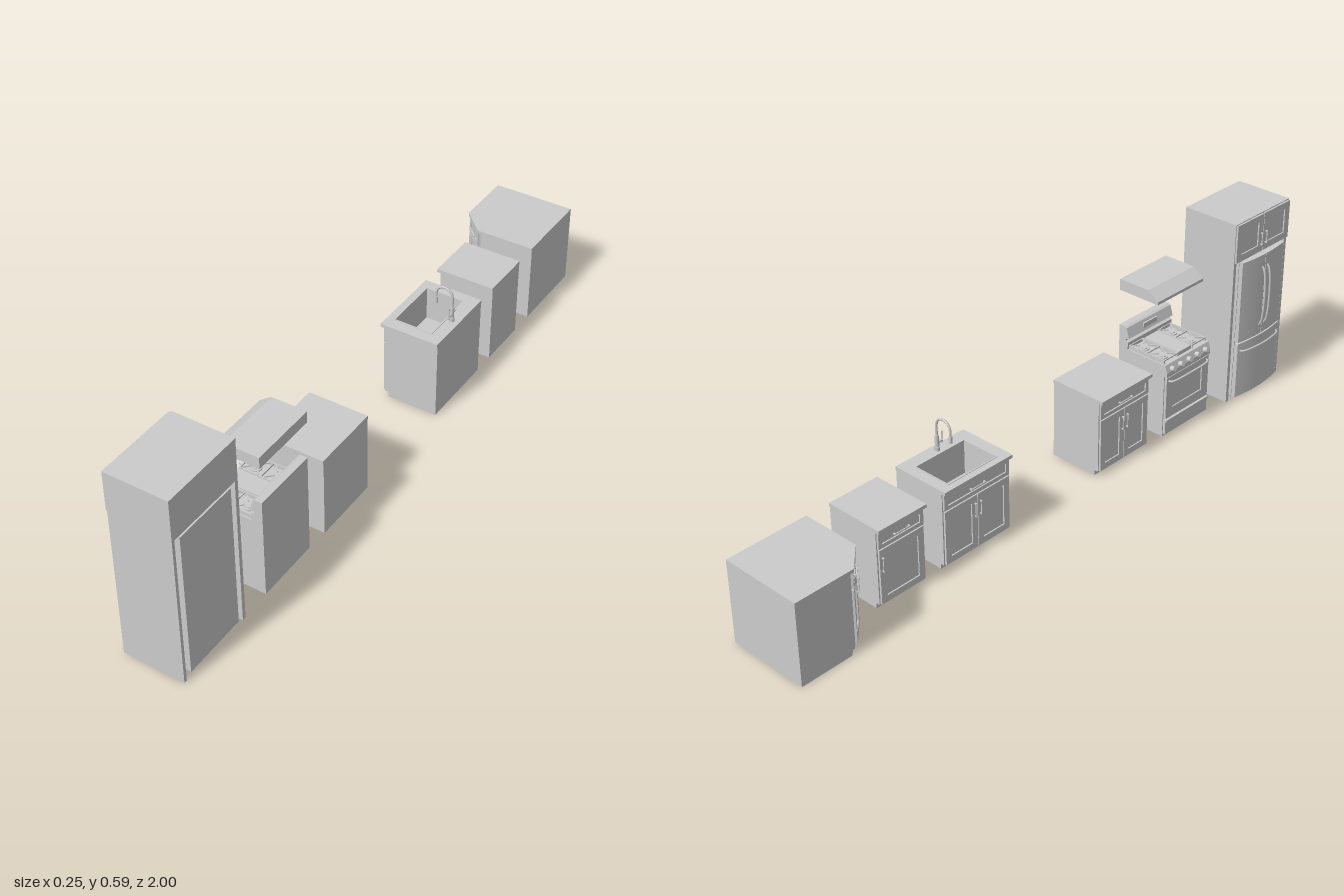
import * as THREE from 'three';

const mat = new THREE.MeshStandardMaterial({ color: 0xcccccc, side: THREE.DoubleSide });

// Units are modelled facing +z; the whole row is turned to face -x at the end.
function add(parent, name, geo, x = 0, y = 0, z = 0) {
  const m = new THREE.Mesh(geo, mat);
  m.name = name;
  m.position.set(x, y, z);
  parent.add(m);
  return m;
}
// Box given by its extents
function box(parent, name, x0, x1, y0, y1, z0, z1) {
  return add(parent, name, new THREE.BoxGeometry(x1 - x0, y1 - y0, z1 - z0),
    (x0 + x1) / 2, (y0 + y1) / 2, (z0 + z1) / 2);
}
function rect(x0, x1, y0, y1, Type = THREE.Shape) {
  return new Type([[x0, y0], [x1, y0], [x1, y1], [x0, y1]].map(p => new THREE.Vector2(...p)));
}
const poly = pts => new THREE.Shape(pts.map(p => new THREE.Vector2(...p)));
const extrude = (shape, depth) => new THREE.ExtrudeGeometry(shape, { depth, bevelEnabled: false });
// Plan outline (x, z) raised from y0 to y1
function slab(parent, name, shape, y0, y1) {
  return add(parent, name, extrude(shape, y1 - y0).rotateX(Math.PI / 2).translate(0, y1, 0));
}
// Side outline (z, y) stretched across width w
function profile(parent, name, pts, w) {
  return add(parent, name, extrude(poly(pts), w).rotateY(-Math.PI / 2).translate(w / 2, 0, 0));
}
function tube(parent, name, pts, r, seg = 20) {
  const curve = new THREE.CatmullRomCurve3(pts.map(p => new THREE.Vector3(...p)));
  return add(parent, name, new THREE.TubeGeometry(curve, seg, r, 8));
}
function cyl(parent, name, r, h, x, y, z, r2 = r) {
  return add(parent, name, new THREE.CylinderGeometry(r, r2, h, 20), x, y, z);
}
function group(parent, name, x = 0) {
  const g = new THREE.Group();
  g.name = name;
  g.position.x = x;
  parent.add(g);
  return g;
}

// Framed front with a recessed middle
function panel(parent, name, x0, x1, y0, y1, z, f = 0.02) {
  const s = rect(x0, x1, y0, y1);
  s.holes.push(rect(x0 + f, x1 - f, y0 + f, y1 - f, THREE.Path));
  add(parent, name + 'Frame', extrude(s, 0.006), 0, 0, z);
  box(parent, name + 'Inset', x0 + f, x1 - f, y0 + f, y1 - f, z, z + 0.002);
}
// Bar handle on two posts
function handle(parent, x, y, z, len, vertical) {
  const g = group(parent, 'barHandle');
  g.position.set(x, y, z);
  if (vertical) g.rotation.z = Math.PI / 2;
  box(g, 'bar', -len / 2, len / 2, -0.002, 0.002, 0.005, 0.008);
  for (const s of [-1, 1]) box(g, 'post', s * len / 2 - 0.002, s * len / 2 + 0.002, -0.002, 0.002, 0, 0.008);
}
// Drawer above one or two doors
function fronts(g, w, doors, z) {
  const a = -w / 2 + 0.003, b = w / 2 - 0.003;
  panel(g, 'drawer', a, b, 0.189, 0.24, z, 0.012);
  handle(g, 0, 0.213, z + 0.005, Math.min(0.05, w * 0.4));
  const dw = (b - a) / doors;
  for (let i = 0; i < doors; i++) {
    const x0 = a + i * dw + 0.001, x1 = a + (i + 1) * dw - 0.001;
    panel(g, 'door', x0, x1, 0.018, 0.185, z);
    const hx = doors === 2 ? (i ? x0 + 0.009 : x1 - 0.009) : x0 + 0.009;
    handle(g, hx, 0.14, z + 0.005, 0.04, true);
  }
}

const BACK = -0.125, FRONT = 0.06, CASE = 0.045;

function baseCabinet(row, name, xc, w, doors, sink) {
  const g = group(row, name, xc), h = w / 2, e = 0.002;
  const counter = rect(-h, h, BACK, FRONT), upper = rect(-h + e, h - e, BACK, CASE);
  box(g, 'plinth', -h + e, h - e, 0, 0.016, BACK, CASE - 0.012);
  if (sink) for (const s of [counter, upper]) s.holes.push(rect(-0.09, 0.086, -0.083, 0.035, THREE.Path));
  box(g, 'carcass', -h + e, h - e, 0.016, 0.15, BACK, CASE);
  slab(g, 'upperCarcass', upper, 0.15, 0.243);
  slab(g, 'countertop', counter, 0.243, 0.253);
  fronts(g, w - 0.004, doors, CASE);
  return g;
}

function sinkFittings(g) {
  const rim = rect(-0.094, 0.09, -0.087, 0.039);
  rim.holes.push(rect(-0.09, 0.086, -0.083, 0.035, THREE.Path));
  slab(g, 'sinkRim', rim, 0.253, 0.2545);
  cyl(g, 'drain', 0.011, 0.003, -0.003, 0.151, -0.025);
  const f = group(g, 'faucet', 0.005);
  cyl(f, 'faucetBase', 0.008, 0.012, 0, 0.259, -0.102);
  cyl(f, 'faucetBody', 0.006, 0.04, 0, 0.28, -0.102);
  const pts = [[0, 0.29, -0.102], [0, 0.33, -0.102]];
  for (let i = 1; i <= 6; i++) {
    const a = i * Math.PI / 6;
    pts.push([0, 0.332 + 0.026 * Math.sin(a), -0.076 - 0.026 * Math.cos(a)]);
  }
  pts.push([0, 0.315, -0.05]);
  tube(f, 'gooseneck', pts, 0.0035, 32);
  cyl(f, 'spout', 0.005, 0.02, 0, 0.308, -0.05);
  cyl(f, 'leverPivot', 0.004, 0.018, 0.009, 0.277, -0.102).rotation.z = Math.PI / 2;
  cyl(f, 'lever', 0.002, 0.038, 0.018, 0.287, -0.102);
}

function cornerCabinet(row) {
  const g = group(row, 'cornerCabinet');
  const outline = d => poly([[-1, BACK], [-0.745 - 0.002 * (d > 0), BACK], [-0.745 - 0.002 * (d > 0), FRONT - d],
    [-0.815 - d, 0.13 - 0.001 * (d > 0)], [-1, 0.13 - 0.001 * (d > 0)]]);
  slab(g, 'plinth', outline(0.022), 0, 0.016);
  slab(g, 'carcass', outline(0.013), 0.016, 0.243);
  slab(g, 'countertop', outline(0), 0.243, 0.253);
  const d = group(g, 'diagonalFront');
  d.position.set(-0.7865, 0, 0.0885);
  d.rotation.y = Math.PI / 4;
  panel(d, 'drawer', -0.045, 0.045, 0.189, 0.24, 0, 0.012);
  panel(d, 'door', -0.045, 0.045, 0.018, 0.185, 0, 0.021);
  handle(d, 0, 0.213, 0.005, 0.04);
  handle(d, 0.036, 0.14, 0.005, 0.04, true);
}

function stove(row, xc) {
  const g = group(row, 'stove', xc), w = 0.1;
  box(g, 'stoveBody', -w, w, 0.006, 0.24, BACK, 0.048);
  box(g, 'cooktop', -w, w, 0.24, 0.246, -0.1, 0.05);
  for (const x of [-0.085, 0.085]) for (const z of [-0.11, 0.035]) cyl(g, 'foot', 0.006, 0.006, x, 0.003, z);
  profile(g, 'backguard', [[BACK, 0.24], [-0.092, 0.24], [-0.092, 0.268], [-0.1, 0.272],
    [-0.1, 0.278], [-0.088, 0.282], [-0.098, 0.314], [-0.105, 0.318], [BACK, 0.318]], 0.2);
  box(g, 'displayPanel', -0.03, 0.03, 0.289, 0.305, -0.098, -0.0905);
  // Control strip with knobs
  profile(g, 'controlStrip', [[0.04, 0.208], [0.058, 0.208], [0.058, 0.222], [0.05, 0.246], [0.04, 0.246]], 0.2);
  for (let i = -2; i <= 2; i++) {
    const k = cyl(g, 'knob', 0.0075, 0.014, i * 0.038, 0.231, 0.061, 0.009);
    k.rotation.x = Math.PI / 2 - 0.3;
  }
  // Oven door, window and drawer
  panel(g, 'ovenDoor', -0.097, 0.097, 0.067, 0.204, 0.05, 0.03);
  box(g, 'ovenDoorCore', -0.097, 0.097, 0.067, 0.204, 0.046, 0.051);
  tube(g, 'ovenHandle', [[-0.088, 0.192, 0.054], [-0.083, 0.192, 0.064], [0, 0.192, 0.07],
    [0.083, 0.192, 0.064], [0.088, 0.192, 0.054]], 0.0035);
  box(g, 'warmingDrawer', -0.097, 0.097, 0.014, 0.063, 0.046, 0.056);
  box(g, 'drawerLip', -0.097, 0.097, 0.056, 0.063, 0.056, 0.06);
  // Burners and grates
  for (const x of [-0.064, 0.064]) {
    for (const z of [-0.06, 0.01]) {
      cyl(g, 'burnerRing', 0.016, 0.004, x, 0.248, z);
      cyl(g, 'burnerCap', 0.01, 0.004, x, 0.251, z);
      for (let i = 0; i < 4; i++) {
        const a = Math.PI / 4 + i * Math.PI / 2;
        add(g, 'grateFinger', new THREE.BoxGeometry(0.026, 0.004, 0.003),
          x + Math.cos(a) * 0.024, 0.257, z - Math.sin(a) * 0.024).rotation.y = a;
      }
    }
    for (const s of [-0.03, 0.03]) box(g, 'grateBar', x + s - 0.0015, x + s + 0.0015, 0.246, 0.258, -0.09, 0.042);
    for (const z of [-0.09, -0.025, 0.04]) box(g, 'grateCross', x - 0.03, x + 0.03, 0.254, 0.258, z - 0.0015, z + 0.0015);
  }
  box(g, 'griddle', -0.029, 0.029, 0.246, 0.258, -0.088, 0.04);
}

function rangeHood(row, xc) {
  const g = group(row, 'rangeHood', xc);
  profile(g, 'hoodShell', [[BACK, 0.432], [0.017, 0.432], [0.017, 0.441], [-0.02, 0.467], [BACK, 0.467]], 0.205);
  box(g, 'hoodFilter', -0.08, 0.08, 0.429, 0.433, -0.1, -0.01);
}

function fridge(row, xc) {
  const g = group(row, 'fridgeTower', xc);
  box(g, 'sidePanelA', -0.1275, -0.116, 0, 0.467, BACK, FRONT);
  box(g, 'sidePanelB', 0.118, 0.1275, 0, 0.467, BACK, FRONT);
  // Cabinet above the refrigerator
  box(g, 'topCabinet', -0.1275, 0.1275, 0.467, 0.593, BACK, FRONT);
  for (const s of [-1, 1]) {
    panel(g, 'topDoor', Math.min(s * 0.001, s * 0.125), Math.max(s * 0.001, s * 0.125), 0.47, 0.59, FRONT, 0.022);
    handle(g, s * 0.011, 0.512, FRONT + 0.006, 0.036, true);
  }
  // Refrigerator with bowed doors
  box(g, 'fridgeBody', -0.099, 0.099, 0.012, 0.46, BACK, 0.057);
  const bow = x => 0.081 - 0.9 * x * x;
  const bowed = (a, b) => {
    const pts = [[b, 0.059], [a, 0.059]];
    for (let i = 0; i <= 12; i++) pts.push([a + (b - a) * i / 12, bow(a + (b - a) * i / 12)]);
    return poly(pts);
  };
  slab(g, 'fridgeDoorA', bowed(-0.1, -0.001), 0.199, 0.465);
  slab(g, 'fridgeDoorB', bowed(0.001, 0.1), 0.199, 0.465);
  slab(g, 'freezerDrawer', bowed(-0.1, 0.1), 0.01, 0.194);
  for (const s of [-1, 1]) {
    tube(g, 'doorHandle', [[s * 0.012, 0.23, 0.08], [s * 0.012, 0.245, 0.088], [s * 0.012, 0.33, 0.0945],
      [s * 0.012, 0.412, 0.088], [s * 0.012, 0.427, 0.08]], 0.0032);
    for (const z of [-0.1, 0.04]) cyl(g, 'foot', 0.007, 0.012, s * 0.085, 0.006, z);
  }
  tube(g, 'drawerHandle', [[-0.09, 0.169, 0.072], [-0.085, 0.169, 0.081], [0, 0.169, 0.0935],
    [0.085, 0.169, 0.081], [0.09, 0.169, 0.072]], 0.0032);
}

export function createModel() {
  const model = new THREE.Group();
  model.name = 'kitchen';
  const row = group(model, 'kitchenRow');
  row.rotation.y = -Math.PI / 2;
  fridge(row, 0.8725);
  stove(row, 0.555);
  rangeHood(row, 0.555);
  baseCabinet(row, 'doubleCabinet', 0.278, 0.215, 2);
  sinkFittings(baseCabinet(row, 'sinkCabinet', -0.315, 0.25, 2, true));
  baseCabinet(row, 'singleCabinet', -0.5875, 0.165, 1);
  cornerCabinet(row);
  return model;
}
